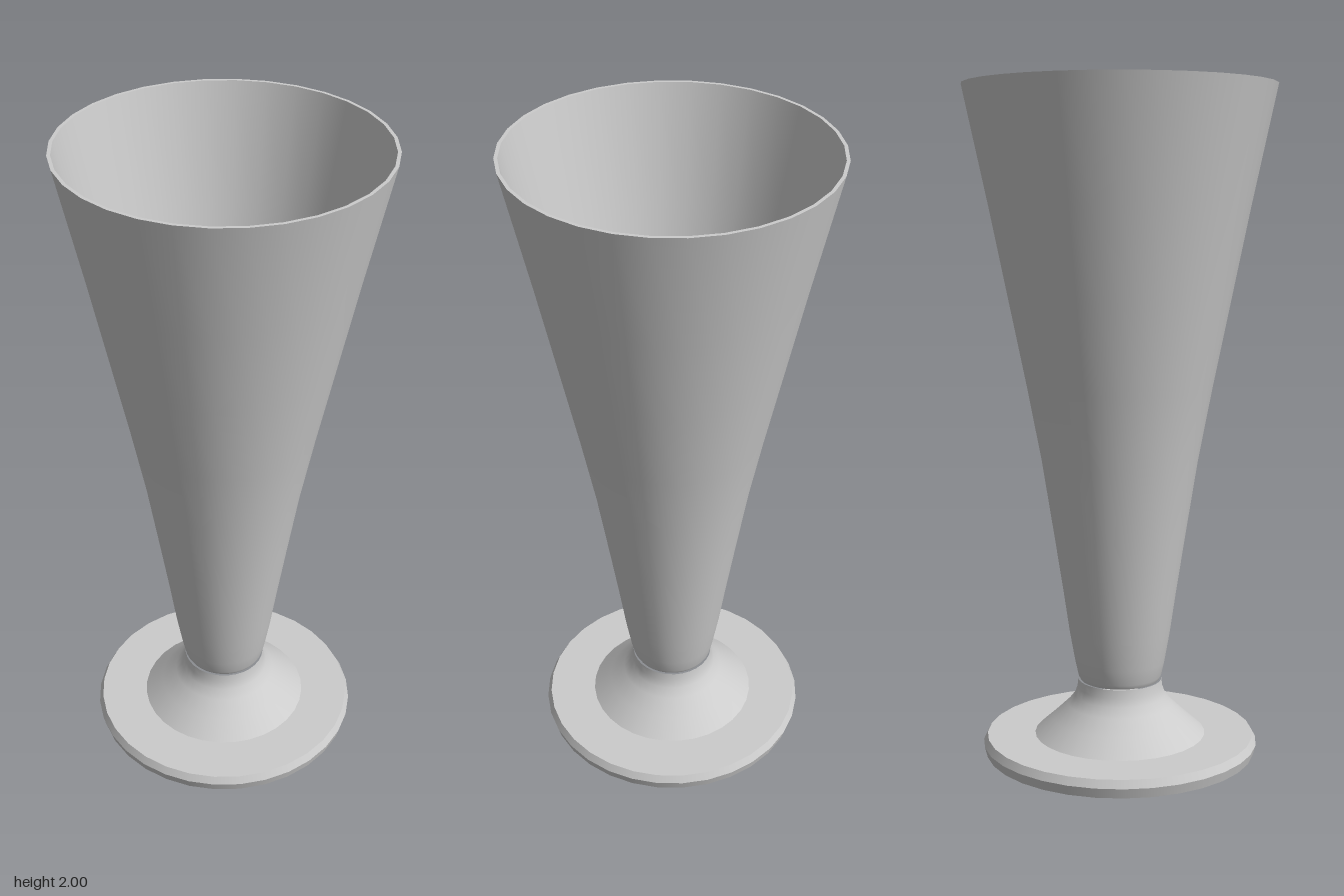
import * as THREE from 'three';

const SIDES = 32;

export function createModel() {
  const group = new THREE.Group();
  const glass = new THREE.MeshStandardMaterial({ color: 0xcccccc });
  glass.name = 'pale grey';

  // Each profile is a smooth [radius, height] band; separate bands meet in a sharp edge.
  const addBand = (parent, name, profile) => {
    const points = profile.map(([r, y]) => new THREE.Vector2(r, y));
    const mesh = new THREE.Mesh(new THREE.LatheGeometry(points, SIDES), glass);
    mesh.name = name;
    parent.add(mesh);
  };

  // Foot: a thin disc with a bevelled edge
  const foot = new THREE.Group();
  foot.name = 'foot';
  addBand(foot, 'footUnderside', [[0, 0], [0.41, 0]]);
  addBand(foot, 'footLowerEdge', [[0.41, 0], [0.418, 0.03]]);
  addBand(foot, 'footUpperEdge', [[0.418, 0.03], [0.406, 0.053]]);
  addBand(foot, 'footTop', [[0.406, 0.053], [0.26, 0.053]]);

  // Stem: flared cone narrowing to the neck
  addBand(group, 'stem', [
    [0.26, 0.053], [0.205, 0.102], [0.16, 0.145], [0.139, 0.172], [0.13, 0.197], [0.127, 0.222],
  ]);

  // Bowl: tall flared wall, flat rim and rounded inside
  const bowl = new THREE.Group();
  bowl.name = 'bowl';
  addBand(bowl, 'bowlOutside', [
    [0.12, 0.222], [0.127, 0.235], [0.137, 0.28], [0.153, 0.37], [0.172, 0.5], [0.2, 0.68],
    [0.235, 0.9], [0.277, 1.12], [0.33, 1.38], [0.385, 1.65], [0.46, 2],
  ]);
  addBand(bowl, 'bowlRim', [[0.46, 2], [0.45, 2]]);
  addBand(bowl, 'bowlInside', [
    [0.45, 2], [0.375, 1.65], [0.32, 1.38], [0.267, 1.12], [0.225, 0.9], [0.19, 0.68],
    [0.162, 0.5], [0.143, 0.38], [0.125, 0.31], [0.095, 0.275], [0.05, 0.262], [0, 0.26],
  ]);

  group.add(foot, bowl);
  return group;
}
